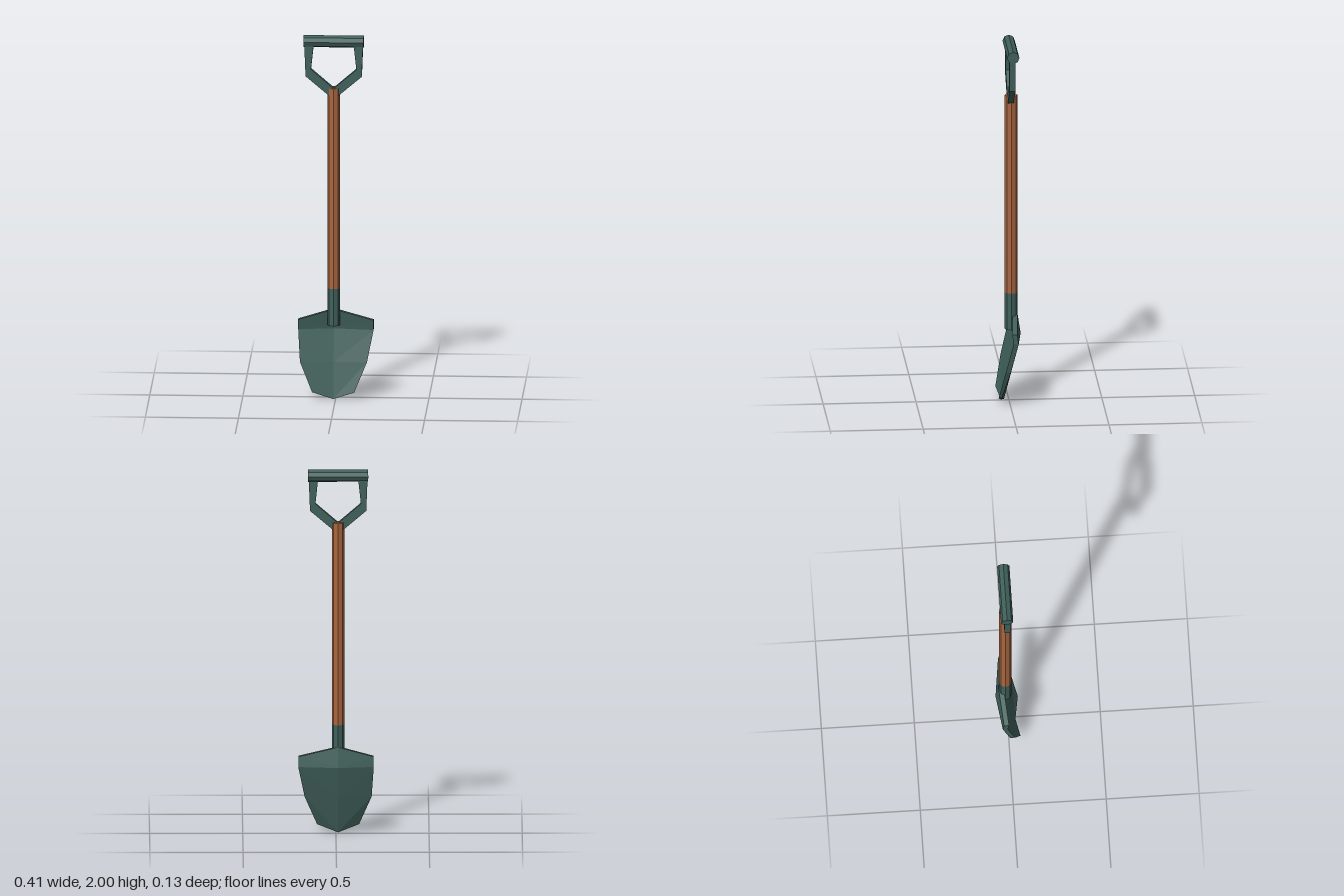
import * as THREE from 'three';

const CX = -0.012, CZ = -0.012; // axis of the shaft
const green = new THREE.MeshStandardMaterial({ color: 0x40605a, flatShading: true });
const wood = new THREE.MeshStandardMaterial({ color: 0xa8653f, flatShading: true });

function add(group, name, geometry, material) {
  const mesh = new THREE.Mesh(geometry, material);
  mesh.name = name;
  group.add(mesh);
  return mesh;
}

// Upright octagonal rod between two heights
function rod(group, name, y0, y1, radius, material) {
  const mesh = add(group, name, new THREE.CylinderGeometry(radius, radius, y1 - y0, 8), material);
  mesh.position.set(CX, (y0 + y1) / 2, CZ);
}

// Dished, folded plate: rows run from the shoulders down to the tip
function bladeGeometry() {
  // left x, right x, edge y, middle y, edge z, middle z, thickness
  const rows = [
    [-0.203, 0.202, 0.43, 0.485, -0.003, -0.02, 0.027],
    [-0.203, 0.202, 0.375, 0.375, -0.01, -0.037, 0.027],
    [-0.192, 0.168, 0.205, 0.2, 0.03, 0.002, 0.027],
    [-0.125, 0.101, 0.045, 0.004, 0.063, 0.043, 0.017],
  ];
  const point = (r, c, back) => {
    const [xl, xr, ye, ym, ze, zm, t] = rows[r];
    return [[xl, CX, xr][c], c === 1 ? ym : ye, (c === 1 ? zm : ze) - (back ? t : 0)];
  };
  const pos = [];
  const tri = (...pts) => pts.forEach((p) => pos.push(...p));

  // Front and back skins, with diagonals mirrored about the fold
  for (const back of [false, true]) {
    for (let r = 0; r < 3; r++) {
      for (let c = 0; c < 2; c++) {
        let q = [point(r, c, back), point(r + 1, c, back), point(r + 1, c + 1, back), point(r, c + 1, back)];
        if (c === 1) q = [q[1], q[2], q[3], q[0]];
        if (back) q = [q[0], q[3], q[2], q[1]];
        tri(q[0], q[1], q[2]);
        tri(q[0], q[2], q[3]);
      }
    }
  }

  // Rim joining the skins
  const loop = [[0, 0], [1, 0], [2, 0], [3, 0], [3, 1], [3, 2], [2, 2], [1, 2], [0, 2], [0, 1]];
  loop.forEach((p, i) => {
    const q = loop[(i + 1) % loop.length];
    const [a, b, c, d] = [point(...p, false), point(...p, true), point(...q, true), point(...q, false)];
    tri(a, b, c);
    tri(a, c, d);
  });

  const geometry = new THREE.BufferGeometry();
  geometry.setAttribute('position', new THREE.Float32BufferAttribute(pos, 3));
  geometry.computeVertexNormals();
  return geometry;
}

// Y-shaped bracket between shaft and grip, mirrored about the shaft
function bracketGeometry() {
  const outer = [[0.158, 1.955], [0.151, 1.777], [0.027, 1.672]];
  const inner = [[0.107, 1.955], [0.122, 1.815], [0, 1.71]];
  const flip = ([x, y]) => [-x, y];
  const outline = [
    ...outer.map(flip), ...outer.slice().reverse(),
    ...inner, ...inner.slice(0, 2).reverse().map(flip),
  ];
  const shape = new THREE.Shape(outline.map(([x, y]) => new THREE.Vector2(x, y)));
  const depth = 0.032;
  return new THREE.ExtrudeGeometry(shape, { depth, bevelEnabled: false }).translate(CX, 0, CZ + 0.003 - depth / 2);
}

export function createModel() {
  const model = new THREE.Group();
  model.name = 'shovel';

  add(model, 'blade', bladeGeometry(), green);
  rod(model, 'socket', 0.4, 0.605, 0.034, green);
  rod(model, 'shaft', 0.605, 1.712, 0.034, wood);
  add(model, 'handleBracket', bracketGeometry(), green);

  // Crosswise grip
  const grip = add(model, 'grip', new THREE.CylinderGeometry(0.033, 0.033, 0.323, 8), green);
  grip.rotation.z = Math.PI / 2;
  grip.position.set(CX, 1.967, CZ);

  return model;
}
